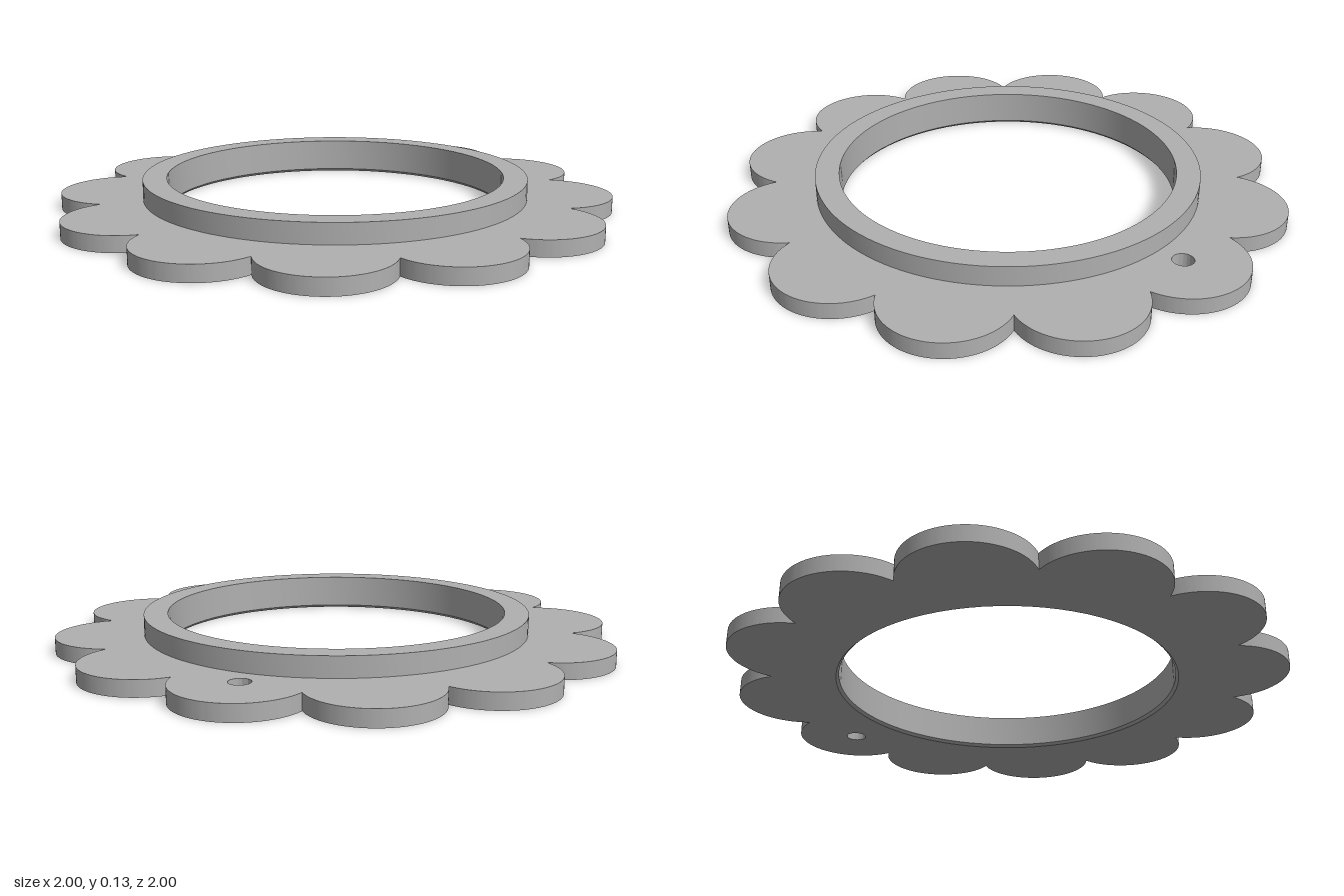
import * as THREE from 'three';
import { toCreasedNormals } from 'three/addons/utils/BufferGeometryUtils.js';

const PETALS = 12;
const PETAL_DISTANCE = 0.78, PETAL_RADIUS = 0.22;
const BORE = 0.605, BEVEL = 0.01;
const PLATE_TOP = 0.057, RING_TOP = 0.128;

function circlePath(x, y, radius) {
  return new THREE.Path().absarc(x, y, radius, 0, Math.PI * 2, true);
}

// Outline of overlapping petal circles, each arc running valley to valley
function scallopedShape() {
  const shape = new THREE.Shape();
  const half = Math.PI / PETALS;
  const valley = PETAL_DISTANCE * Math.cos(half)
    + Math.sqrt(PETAL_RADIUS ** 2 - (PETAL_DISTANCE * Math.sin(half)) ** 2);
  const sweep = Math.atan2(valley * Math.sin(half), valley * Math.cos(half) - PETAL_DISTANCE);
  for (let i = 0; i < PETALS; i++) {
    const a = i * 2 * half;
    shape.absarc(PETAL_DISTANCE * Math.cos(a), PETAL_DISTANCE * Math.sin(a),
      PETAL_RADIUS, a - sweep, a + sweep, false);
  }
  return shape;
}

export function createModel() {
  const group = new THREE.Group();
  group.name = 'scallopedRing';
  const grey = new THREE.MeshStandardMaterial({ color: 0xb0b0b0 });
  grey.name = 'grey';

  // Flat flower plate with the large opening and a small hole in the rear petal
  const shape = scallopedShape();
  shape.holes.push(circlePath(0, 0, BORE + BEVEL), circlePath(0, PETAL_DISTANCE, 0.037));
  const plateGeometry = new THREE.ExtrudeGeometry(shape, {
    depth: PLATE_TOP, bevelEnabled: false, curveSegments: 40,
  });
  plateGeometry.rotateX(-Math.PI / 2);
  const plate = new THREE.Mesh(toCreasedNormals(plateGeometry, 0.5), grey);
  plate.name = 'scallopedPlate';
  group.add(plate);

  // Raised collar with its bore running through the plate to a small bottom chamfer
  const profile = [
    [0.69, PLATE_TOP], [0.69, RING_TOP], [BORE, RING_TOP], [BORE, BEVEL], [BORE + BEVEL, 0],
  ].map(([r, y]) => new THREE.Vector2(r, y));
  const collar = new THREE.Mesh(
    toCreasedNormals(new THREE.LatheGeometry(profile, 120), 0.5), grey);
  collar.name = 'raisedCollar';
  group.add(collar);

  return group;
}
